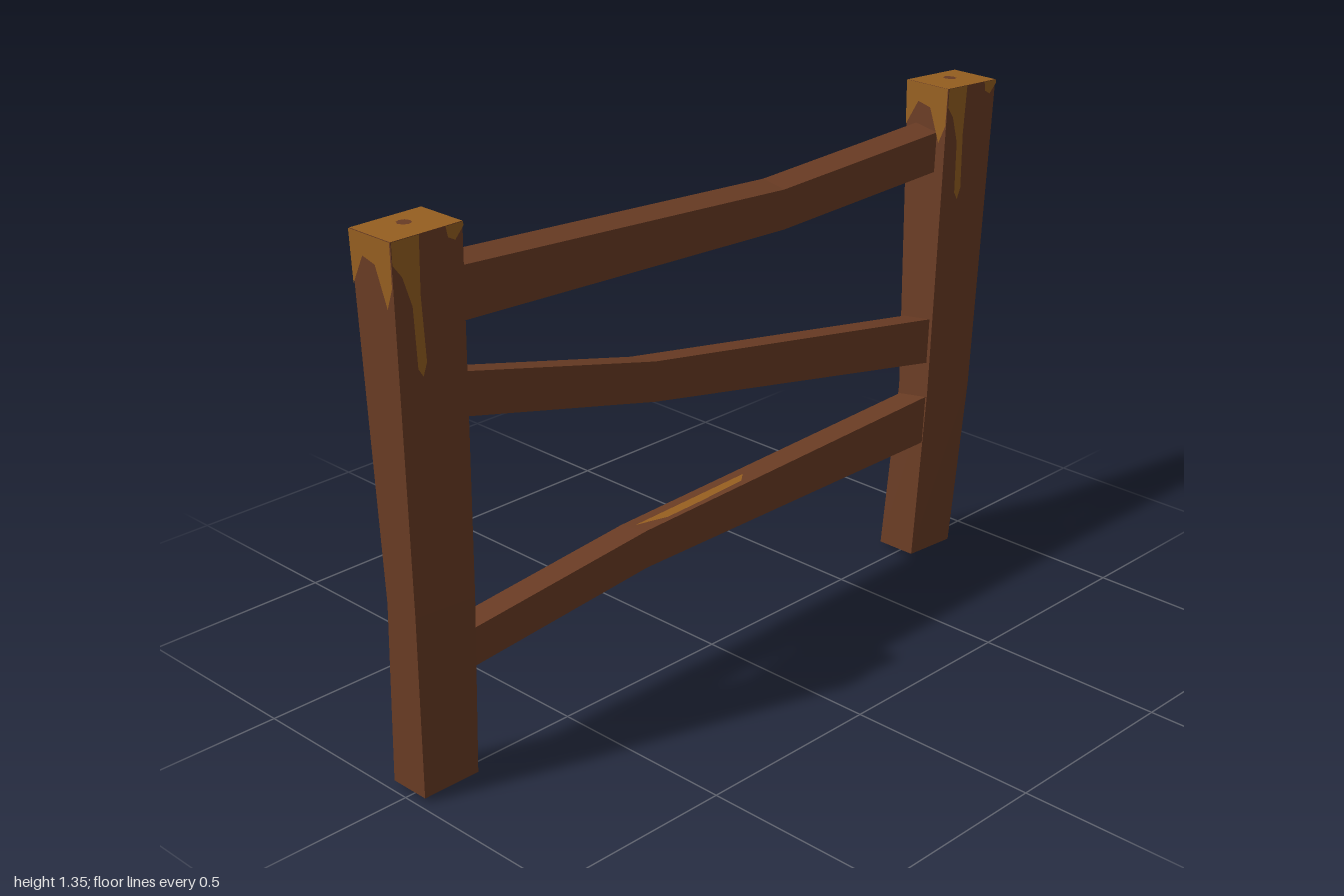
import * as THREE from 'three';

const wood = new THREE.MeshStandardMaterial({ name: 'brown wood', color: 0x6a3c24 });
const cut = new THREE.MeshStandardMaterial({ name: 'ochre bare wood', color: 0x965f20 });
const under = new THREE.MeshStandardMaterial({ name: 'black underside', color: 0x141414 });

// Flat-shaded surface from a list of four-cornered faces
function quads(name, faces, material) {
  const pos = [];
  for (const [a, b, c, d] of faces) for (const p of [a, b, c, a, c, d]) pos.push(...p);
  const geo = new THREE.BufferGeometry();
  geo.setAttribute('position', new THREE.Float32BufferAttribute(pos, 3));
  geo.computeVertexNormals();
  const mesh = new THREE.Mesh(geo, material);
  mesh.name = name;
  return mesh;
}

// Side face i between cross-sections k and k + 1
function side(rings, k, i) {
  const j = (i + 1) % 4;
  return [rings[k][i], rings[k][j], rings[k + 1][j], rings[k + 1][i]];
}

function sides(rings) {
  const faces = [];
  for (let k = 0; k < rings.length - 1; k++)
    for (let i = 0; i < 4; i++) faces.push(side(rings, k, i));
  return faces;
}

// Thin patch whose outline is given in 0..1 coordinates on a four-cornered face
function patch(name, face, outline, material) {
  const [a, b, c, d] = face.map((p) => new THREE.Vector3(...p));
  const normal = b.clone().sub(a).cross(d.clone().sub(a)).normalize();
  const shape = new THREE.Shape(outline.map(([u, v]) => new THREE.Vector2(u, v)));
  const geo = new THREE.ShapeGeometry(shape, 6);
  const p = geo.attributes.position;
  for (let n = 0; n < p.count; n++) {
    const u = p.getX(n), v = p.getY(n);
    const low = a.clone().lerp(b, u), high = d.clone().lerp(c, u);
    low.lerp(high, v).addScaledVector(normal, 0.003);
    p.setXYZ(n, low.x, low.y, low.z);
  }
  geo.computeVertexNormals();
  const mesh = new THREE.Mesh(geo, material);
  mesh.name = name;
  return mesh;
}

// Bare-wood drips as [across, drop below the top]: face 0 front, 1 right, 2 back, 3 left
const DRIPS = [
  [0, [[0, 0], [0, 0.05], [0.12, 0.08], [0.24, 0.15], [0.27, 0.29], [0.34, 0.31], [0.4, 0.28], [0.36, 0.13], [0.38, 0]]],
  [0, [[0.75, 0], [0.78, 0.025], [0.88, 0.035], [1, 0.01], [1, 0]]],
  [1, [[0, 0], [0, 0.05], [0.2, 0.1], [0.27, 0.27], [0.33, 0.3], [0.4, 0.27], [0.55, 0.13], [0.75, 0.08], [1, 0.06], [1, 0]]],
  [2, [[0, 0], [0, 0.1], [0.15, 0.05], [0.35, 0.02], [0.55, 0.05], [0.7, 0.12], [0.8, 0.17], [0.92, 0.18], [1, 0.12], [1, 0]]],
  [2, [[0.71, 0.38], [0.73, 0.5], [0.78, 0.5], [0.79, 0.38]]],
  [3, [[0, 0], [0, 0.12], [0.3, 0.05], [0.6, 0.06], [0.85, 0.15], [1, 0.1], [1, 0]]],
];

// Bent post; each level is [left x, right x, left y, right y]
function post(name, levels) {
  const group = new THREE.Group();
  group.name = name;
  // front left, front right, back right, back left depth at each level
  const depth = [[0.05, 0.05, -0.06, -0.06], [0.06, 0.075, -0.025, -0.037], [0.058, 0.058, -0.077, -0.077]];
  const rings = levels.map(([x0, x1, y0, y1], k) => {
    const z = depth[k];
    return [[x0, y0, z[0]], [x1, y1, z[1]], [x1, y1, z[2]], [x0, y0, z[3]]];
  });
  group.add(quads('postSides', sides(rings), wood));
  group.add(quads('postTop', [rings[2]], cut));
  group.add(quads('postBottom', [[...rings[0]].reverse()], under));
  for (const [i, outline] of DRIPS)
    group.add(patch('bareWoodDrip', side(rings, 1, i), outline.map(([u, drop]) => [u, 1 - drop / 0.86]), cut));
  // Knot in the end grain
  const knot = [];
  for (let n = 0; n < 8; n++) {
    const t = (n / 8) * Math.PI * 2;
    knot.push([0.5 + 0.09 * Math.cos(t), 0.55 + 0.13 * Math.sin(t)]);
  }
  group.add(patch('knot', rings[2], knot, wood));
  return group;
}

// Bent rail; each section is [x, bottom y, top y]; lift raises the back edge
function rail(name, sections, zBack, zFront, lift, worn) {
  const group = new THREE.Group();
  group.name = name;
  const rings = sections.map(([x, y0, y1]) => [
    [x, y0, zFront], [x, y0 + lift, zBack], [x, y1 + lift, zBack], [x, y1, zFront],
  ]);
  const ends = [[...rings[0]].reverse(), rings[2]];
  group.add(quads('railTimber', [...sides(rings), ...ends], wood));
  const { face, segment, from, to, u0, u1 } = worn;
  const mid = (from + to) / 2, span = to - from;
  const outline = [[u0, from], [u1, from + span * 0.2], [u1, mid], [u1 - 0.06, to - span * 0.1], [u0, to]];
  group.add(patch('wornPatch', side(rings, segment, face), outline, cut));
  return group;
}

export function createModel() {
  const model = new THREE.Group();
  model.name = 'fence';

  model.add(post('rightPost', [
    [-0.983, -0.825, 0.012, 0.012], [-0.99, -0.832, 0.48, 0.48], [-1, -0.808, 1.35, 1.35],
  ]));
  model.add(post('leftPost', [
    [0.733, 0.892, 0.01, 0], [0.763, 0.918, 0.48, 0.47], [0.805, 0.998, 1.31, 1.298],
  ]));

  model.add(rail('topRail', [[-0.84, 1.116, 1.243], [0.22, 1.07, 1.172], [0.83, 1.087, 1.192]],
    -0.04, 0.03, 0.012, { face: 0, segment: 0, from: 0.77, to: 0.99, u0: 0.6, u1: 0.95 }));
  model.add(rail('middleRail', [[-0.85, 0.912, 1.018], [-0.24, 0.762, 0.864], [0.81, 0.558, 0.682]],
    -0.035, 0.05, -0.012, { face: 0, segment: 1, from: 0.06, to: 0.26, u0: 0, u1: 0.3 }));
  model.add(rail('bottomRail', [[-0.85, 0.29, 0.386], [-0.28, 0.342, 0.44], [0.79, 0.34, 0.471]],
    -0.033, 0.055, -0.014, { face: 2, segment: 1, from: 0.01, to: 0.36, u0: 0.45, u1: 0.85 }));

  return model;
}
